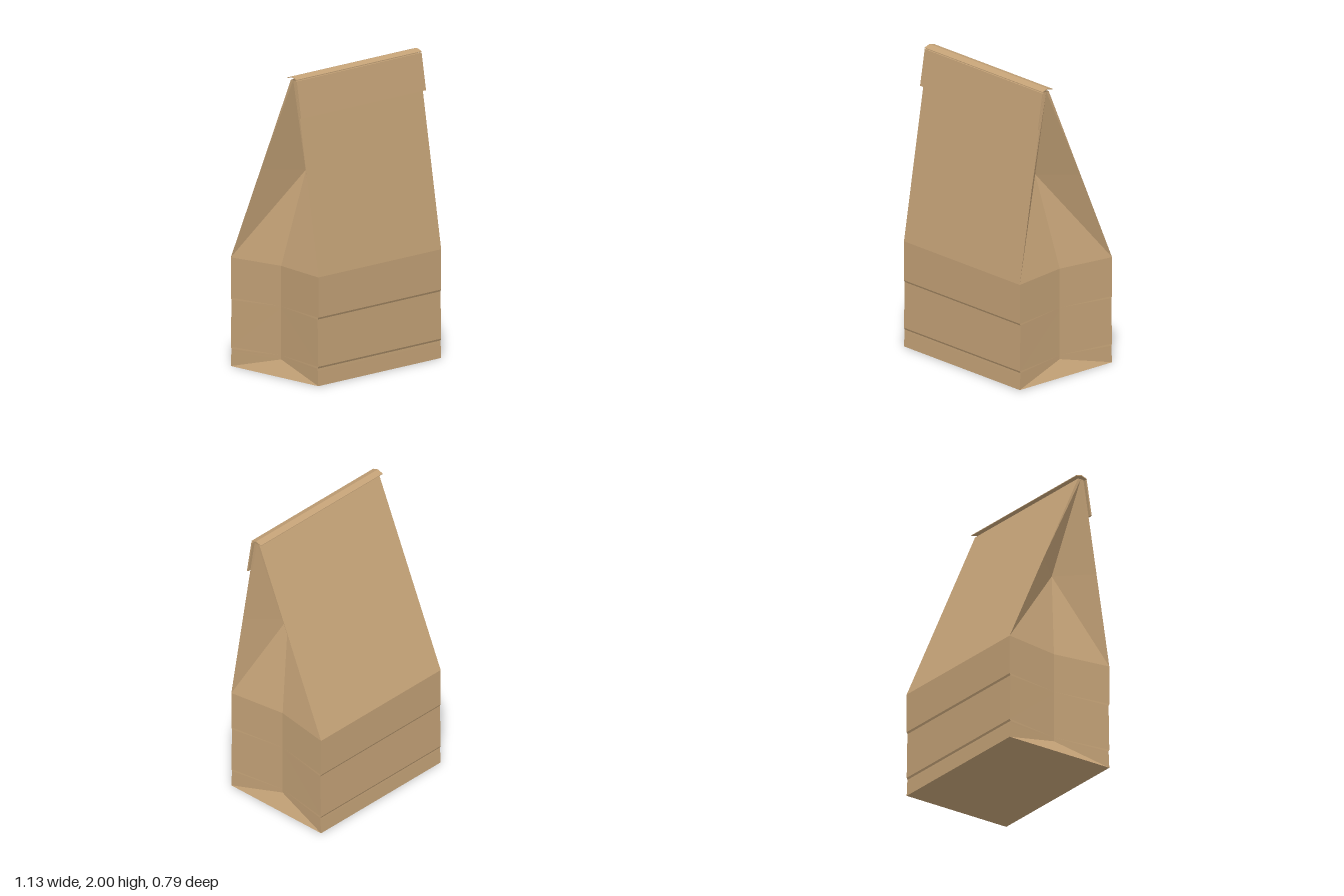
import * as THREE from 'three';

const W = 0.556; // half width of the bag

// One horizontal section: front z, back z, side-fold z and how far the fold sinks in
const ring = (y, front, back, mid, sink) => [
  [W, y, front], [W - sink, y, mid], [W, y, back],
  [-W, y, back], [-W + sink, y, mid], [-W, y, front],
];

// Faceted paper skin between successive sections
function loft(rings) {
  const pos = [];
  const tri = (...pts) => pts.forEach((p) => pos.push(...p));
  for (let r = 0; r < rings.length - 1; r++) {
    for (let i = 0; i < 6; i++) {
      const j = (i + 1) % 6;
      const a = rings[r][i], b = rings[r][j], c = rings[r + 1][j], d = rings[r + 1][i];
      if (i % 3 === 1) { tri(a, b, d); tri(b, c, d); } // mirrored diagonals on the gussets
      else { tri(a, b, c); tri(a, c, d); }
    }
  }
  const g = new THREE.BufferGeometry();
  g.setAttribute('position', new THREE.Float32BufferAttribute(pos, 3));
  g.computeVertexNormals();
  return g;
}

// Thin folded sheet: a (z, y) outline swept across the width
function sheet(outline, halfWidth) {
  const shape = new THREE.Shape(outline.map(([z, y]) => new THREE.Vector2(-z, y)));
  const g = new THREE.ExtrudeGeometry(shape, { depth: halfWidth * 2, bevelEnabled: false });
  g.translate(0, 0, -halfWidth);
  g.rotateY(Math.PI / 2);
  return g;
}

export function createModel() {
  const group = new THREE.Group();
  const paper = new THREE.MeshStandardMaterial({ color: 0xc4a277, side: THREE.DoubleSide, flatShading: true });
  paper.name = 'kraft paper';
  const add = (name, geometry) => {
    const mesh = new THREE.Mesh(geometry, paper);
    mesh.name = name;
    group.add(mesh);
    return mesh;
  };

  // Upright lower part, with two shallow creases on front and back
  const lower = [[0, 0.396, 0], [0.1, 0.391, 0.06], [0.114, 0.39, 0.06], [0.127, 0.396, 0.06],
    [0.437, 0.39, 0.06], [0.45, 0.396, 0.06], [0.715, 0.396, 0.06]];
  add('lowerBag', loft(lower.map(([y, z, sink]) => ring(y, z, -z, 0, sink))));

  // Tapering upper part with tucked side gussets
  add('upperBag', loft([
    ring(0.715, 0.396, -0.396, 0, 0.06),
    ring(1.34, 0.294, -0.126, 0.085, 0.2),
    ring(1.975, 0.19, 0.148, 0.169, 0),
  ]));

  // Flat base
  const base = add('base', new THREE.PlaneGeometry(W * 2, 0.792));
  base.rotation.x = Math.PI / 2;

  // Flap folded down over the front
  add('frontFlap', sheet([[0.2, 1.975], [0.21, 1.975], [0.25, 1.735], [0.24, 1.735]], 0.565));

  // Creased strip along the top edge
  add('topFold', sheet([[0.21, 1.985], [0.168, 2], [0.125, 1.988], [0.125, 1.984], [0.168, 1.994], [0.21, 1.98]], 0.566));

  return group;
}
